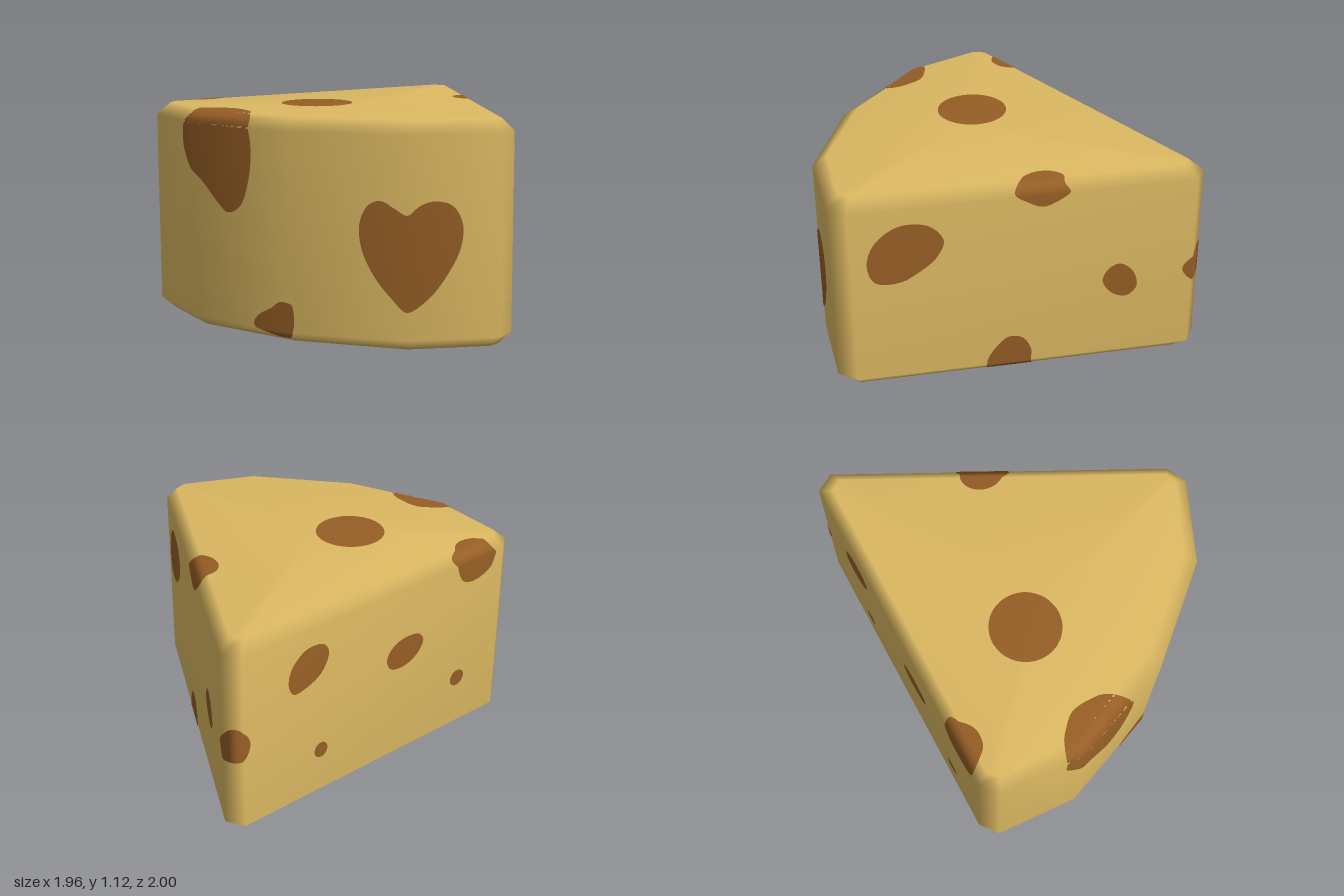
import * as THREE from 'three';

const V = (x, y, z) => new THREE.Vector3(x, y, z);
const HEIGHT = 1.11;
const CORE = V(0, 0.55, 0.2); // inner point the spots are projected from

// Half outlines (x, z) from the tip to the middle of the rind
const FULL = [[0.055, -1], [0.98, 0.51], [0.965, 0.63], [0.59, 0.89], [0, 0.995]];
const INSET = [[0.034, -0.92], [0.92, 0.527], [0.905, 0.59], [0.565, 0.82], [0, 0.91]];
const mirrored = (half) => [...half, ...half.slice(0, -1).reverse().map(([x, z]) => [-x, z])];

// Wedge: four stacked outlines closed with caps, bevelled at top and bottom
function wedgeGeometry() {
  const rings = [[INSET, 0], [FULL, 0.06], [FULL, 1.05], [INSET, HEIGHT]];
  const n = mirrored(FULL).length;
  const pos = [], index = [];
  for (const [half, y] of rings) for (const [x, z] of mirrored(half)) pos.push(x, y, z);
  pos.push(0, 0, 0.3, 0, HEIGHT, 0.3);
  const bottom = n * 4, top = bottom + 1;
  for (let i = 0; i < n; i++) {
    const j = (i + 1) % n;
    for (let r = 0; r < 3; r++) {
      const a = r * n + i, b = r * n + j;
      index.push(b, a, a + n, b, a + n, b + n);
    }
    index.push(bottom, i, j, top, 3 * n + j, 3 * n + i);
  }
  const g = new THREE.BufferGeometry();
  g.setAttribute('position', new THREE.Float32BufferAttribute(pos, 3));
  g.setIndex(index);
  g.computeVertexNormals();
  return g;
}

// Returns a function giving the surface point and normal in the direction of p
function surfaceFinder(geometry) {
  const P = geometry.attributes.position, N = geometry.attributes.normal;
  const idx = geometry.index.array;
  const at = (attr, i) => new THREE.Vector3().fromBufferAttribute(attr, i);
  const tris = [];
  for (let i = 0; i < idx.length; i += 3) {
    const ids = [idx[i], idx[i + 1], idx[i + 2]];
    tris.push({ p: ids.map((k) => at(P, k)), n: ids.map((k) => at(N, k)) });
  }
  return (p) => {
    const ray = new THREE.Ray(CORE, p.clone().sub(CORE).normalize());
    const hit = V(0, 0, 0), normal = V(0, 0, 0);
    for (const t of tris) {
      if (!ray.intersectTriangle(...t.p, false, hit)) continue;
      THREE.Triangle.getInterpolation(hit, ...t.p, ...t.n, normal);
      return { point: hit, normal: normal.normalize() };
    }
    return { point: p.clone(), normal: ray.direction.clone() };
  };
}

// Thin patch following the surface inside a closed outline
function spotGeometry(outline, find) {
  const SEG = 72, RINGS = 14;
  const rim = new THREE.CatmullRomCurve3(outline, true).getPoints(SEG).slice(0, SEG);
  const centre = V(0, 0, 0);
  rim.forEach((p) => centre.addScaledVector(p, 1 / SEG));
  const area = V(0, 0, 0);
  rim.forEach((p, i) => area.add(
    p.clone().sub(centre).cross(rim[(i + 1) % SEG].clone().sub(centre))));
  if (area.dot(centre.clone().sub(CORE)) < 0) rim.reverse();

  const pos = [], nor = [], index = [];
  const add = (p) => {
    const { point, normal } = find(p);
    point.addScaledVector(normal, 0.004);
    pos.push(...point.toArray());
    nor.push(...normal.toArray());
  };
  add(centre);
  for (let r = 1; r <= RINGS; r++) rim.forEach((p) => add(centre.clone().lerp(p, r / RINGS)));
  for (let i = 0; i < SEG; i++) {
    const j = (i + 1) % SEG;
    index.push(0, 1 + i, 1 + j);
    for (let r = 0; r < RINGS - 1; r++) {
      const a = 1 + r * SEG + i, b = 1 + r * SEG + j;
      index.push(a, a + SEG, b + SEG, a, b + SEG, b);
    }
  }
  const g = new THREE.BufferGeometry();
  g.setAttribute('position', new THREE.Float32BufferAttribute(pos, 3));
  g.setAttribute('normal', new THREE.Float32BufferAttribute(nor, 3));
  g.setIndex(index);
  return g;
}

// Outline helpers for each face of the wedge
const sideX = (z) => 0.055 + (z + 1) * 0.613;
const right = (pts) => pts.map(([z, y]) => V(sideX(z), y, z));
const left = (pts) => pts.map(([z, y]) => V(-sideX(z), y, z));
const rindZ = (x) => (Math.abs(x) < 0.59
  ? 0.995 - 0.178 * Math.abs(x) : 0.89 - 0.693 * (Math.abs(x) - 0.59));
const front = (pts) => pts.map(([x, y]) => V(x, y, rindZ(x)));
const flat = (y, pts) => pts.map(([x, z]) => V(x, y, z));
const circle = (a, b, ra, rb = ra) => Array.from({ length: 12 }, (_, i) => {
  const t = (i / 12) * Math.PI * 2;
  return [a + ra * Math.cos(t), b + rb * Math.sin(t)];
});

const SPOTS = {
  topSpot: flat(HEIGHT, circle(-0.18, 0.315, 0.185)),
  bottomLargeSpot: flat(0, circle(0.23, 0.41, 0.225)),
  bottomSmallSpot: flat(0, circle(-0.42, 0.41, 0.122)),
  topLeftSideEdgeSpot: [
    ...flat(HEIGHT, [[-0.4, -0.43], [-0.345, -0.37], [-0.335, -0.31], [-0.37, -0.24], [-0.45, -0.2]]
      .map(([x, z]) => [-x, z])),
    ...right([[-0.2, 1.07], [-0.25, 1.02], [-0.32, 0.985], [-0.4, 1.02], [-0.44, 1.06]]),
  ],
  topRightSideEdgeSpot: [
    ...flat(HEIGHT, [[-0.8, 0.225], [-0.765, 0.29], [-0.76, 0.37], [-0.81, 0.44], [-0.88, 0.46]]),
    ...left([[0.46, 1.04], [0.43, 0.97], [0.34, 0.93], [0.26, 0.95], [0.22, 1.04]]),
  ],
  rindTopSpot: [
    ...front([[-0.67, 1.0], [-0.67, 0.93], [-0.62, 0.84], [-0.52, 0.76], [-0.42, 0.66],
      [-0.36, 0.62], [-0.28, 0.66], [-0.23, 0.78], [-0.21, 0.92], [-0.225, 1.04]]),
    ...flat(HEIGHT, [[-0.27, 0.85], [-0.37, 0.76], [-0.45, 0.73], [-0.53, 0.745], [-0.61, 0.78]]),
  ],
  rindHeartSpot: front([[0.59, 0.67], [0.64, 0.715], [0.7, 0.735], [0.77, 0.71], [0.81, 0.62],
    [0.8, 0.5], [0.75, 0.38], [0.68, 0.27], [0.59, 0.2], [0.52, 0.26], [0.43, 0.37],
    [0.37, 0.5], [0.36, 0.62], [0.4, 0.71], [0.46, 0.735], [0.53, 0.7]]),
  rindBottomSpot: [
    ...front([[-0.205, 0.08], [-0.17, 0.13], [-0.1, 0.17], [-0.04, 0.21], [0.02, 0.205],
      [0.035, 0.15], [0.03, 0.07]]),
    V(-0.01, 0.025, 0.945), V(-0.08, 0.02, 0.93), V(-0.15, 0.045, 0.95),
  ],
  leftSideUpperSpot: right([[0.44, 0.74], [0.42, 0.84], [0.36, 0.92], [0.28, 0.96], [0.17, 0.94],
    [0.11, 0.85], [0.14, 0.76], [0.22, 0.68], [0.31, 0.63], [0.41, 0.645]]),
  leftSideSmallSpot: right([[-0.59, 0.51], [-0.62, 0.58], [-0.67, 0.6], [-0.73, 0.54],
    [-0.745, 0.45], [-0.7, 0.4], [-0.63, 0.43]]),
  leftSideBottomSpot: [
    ...right([[-0.07, 0.08], [-0.12, 0.18], [-0.17, 0.225], [-0.23, 0.21], [-0.27, 0.13], [-0.27, 0.06]]),
    ...flat(0, [[0.41, -0.23], [0.36, -0.16], [0.4, -0.08], [0.52, -0.04]]),
  ],
  rightSideUpperSpot: left([[-0.76, 0.78], [-0.73, 0.72], [-0.66, 0.73], [-0.58, 0.78],
    [-0.54, 0.88], [-0.57, 0.94], [-0.66, 0.95], [-0.74, 0.88]]),
  rightSideMiddleSpot: left([[-0.2, 0.67], [-0.175, 0.605], [-0.09, 0.59], [-0.01, 0.635],
    [0.02, 0.7], [-0.01, 0.75], [-0.11, 0.76], [-0.17, 0.73]]),
  rightSideFrontDot: left(circle(0.255, 0.35, 0.043, 0.048)),
  rightSideBackDot: left(circle(-0.58, 0.31, 0.037, 0.045)),
  tipSpot: [[-0.075, 0.55, -0.965], [-0.05, 0.63, -1], [0, 0.64, -1], [0.05, 0.6, -1],
    [0.083, 0.53, -0.953], [0.05, 0.45, -1], [0, 0.44, -1], [-0.05, 0.46, -1]].map((p) => V(...p)),
};

export function createModel() {
  const cheese = new THREE.MeshStandardMaterial({ color: 0xdcb962 });
  cheese.name = 'cheese yellow';
  const brown = new THREE.MeshStandardMaterial({ color: 0x965e25 });
  brown.name = 'spot brown';

  const model = new THREE.Group();
  model.name = 'cheeseWedge';
  const wedge = new THREE.Mesh(wedgeGeometry(), cheese);
  wedge.name = 'wedge';
  model.add(wedge);

  const find = surfaceFinder(wedge.geometry);
  const spots = new THREE.Group();
  spots.name = 'spots';
  for (const [name, outline] of Object.entries(SPOTS)) {
    const spot = new THREE.Mesh(spotGeometry(outline, find), brown);
    spot.name = name;
    spots.add(spot);
  }
  model.add(spots);
  return model;
}
